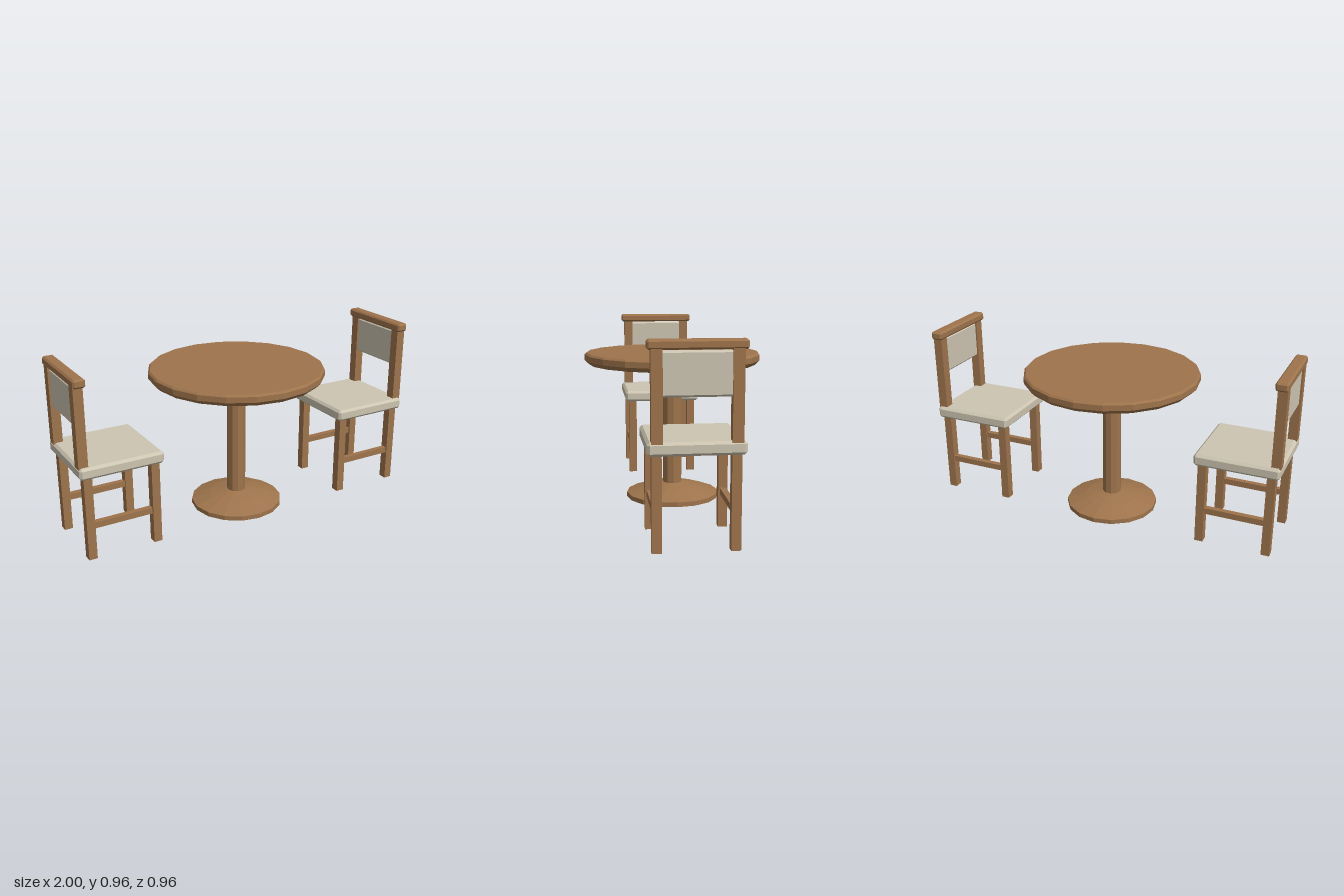
import * as THREE from 'three';
import { ConvexGeometry } from 'three/addons/geometries/ConvexGeometry.js';

export function createModel() {
  const wood = new THREE.MeshStandardMaterial({ color: 0x9e744c });
  wood.name = 'wood';
  const cushion = new THREE.MeshStandardMaterial({ color: 0xcdc5b1 });
  cushion.name = 'cream cushion';

  function add(parent, name, geometry, material, x = 0, y = 0, z = 0) {
    const mesh = new THREE.Mesh(geometry, material);
    mesh.name = name;
    mesh.position.set(x, y, z);
    parent.add(mesh);
    return mesh;
  }

  // Box with every edge and corner chamfered by c
  function chamferBox(w, h, d, c) {
    const points = [];
    for (const sx of [-1, 1]) for (const sy of [-1, 1]) for (const sz of [-1, 1]) {
      for (let axis = 0; axis < 3; axis++) {
        const inset = [c, c, c];
        inset[axis] = 0;
        points.push(new THREE.Vector3(
          sx * (w / 2 - inset[0]), sy * (h / 2 - inset[1]), sz * (d / 2 - inset[2])));
      }
    }
    return new ConvexGeometry(points);
  }

  // Faceted turned shape from [radius, y] pairs, bottom to top
  function turned(profile, sides) {
    const points = profile.map(([r, y]) => new THREE.Vector2(r, y));
    const geometry = new THREE.LatheGeometry(points, sides).toNonIndexed();
    geometry.computeVertexNormals();
    return geometry;
  }

  const model = new THREE.Group();
  model.name = 'diningSet';

  // Round pedestal table
  const table = new THREE.Group();
  table.name = 'table';
  model.add(table);
  add(table, 'tableTop', turned(
    [[0, 0.75], [0.457, 0.75], [0.48, 0.773], [0.48, 0.803], [0.47, 0.813], [0, 0.813]], 20), wood);
  add(table, 'tableColumn', turned([[0.052, 0.07], [0.052, 0.755]], 10), wood).rotation.y = Math.PI / 2;
  add(table, 'tableBase', turned(
    [[0, 0], [0.255, 0], [0.255, 0.025], [0.15, 0.06], [0.052, 0.08], [0, 0.08]], 16), wood);

  // Chair on the -x side, facing the table
  function makeChair(name) {
    const chair = new THREE.Group();
    chair.name = name;
    add(chair, 'seat', chamferBox(0.45, 0.064, 0.45, 0.013), cushion, -0.773, 0.481, 0);
    for (const side of [-1, 1]) {
      const z = side * 0.181;
      for (const [part, x] of [['backLeg', -0.953], ['frontLeg', -0.592]]) {
        add(chair, part, new THREE.BoxGeometry(0.045, 0.452, 0.046), wood, x, 0.226, z);
      }
      add(chair, 'stretcher', new THREE.BoxGeometry(0.33, 0.033, 0.03), wood, -0.772, 0.183, z);
      add(chair, 'backPost', new THREE.BoxGeometry(0.05, 0.42, 0.052), wood, -0.972, 0.715, z);
    }
    add(chair, 'backPanel', chamferBox(0.03, 0.206, 0.336, 0.01), cushion, -0.972, 0.813, 0);
    add(chair, 'topRail', chamferBox(0.064, 0.045, 0.45, 0.009), wood, -0.968, 0.942, 0);
    return chair;
  }

  const rightChair = makeChair('rightChair');
  const leftChair = makeChair('leftChair');
  leftChair.rotation.y = Math.PI;
  model.add(rightChair, leftChair);

  return model;
}
